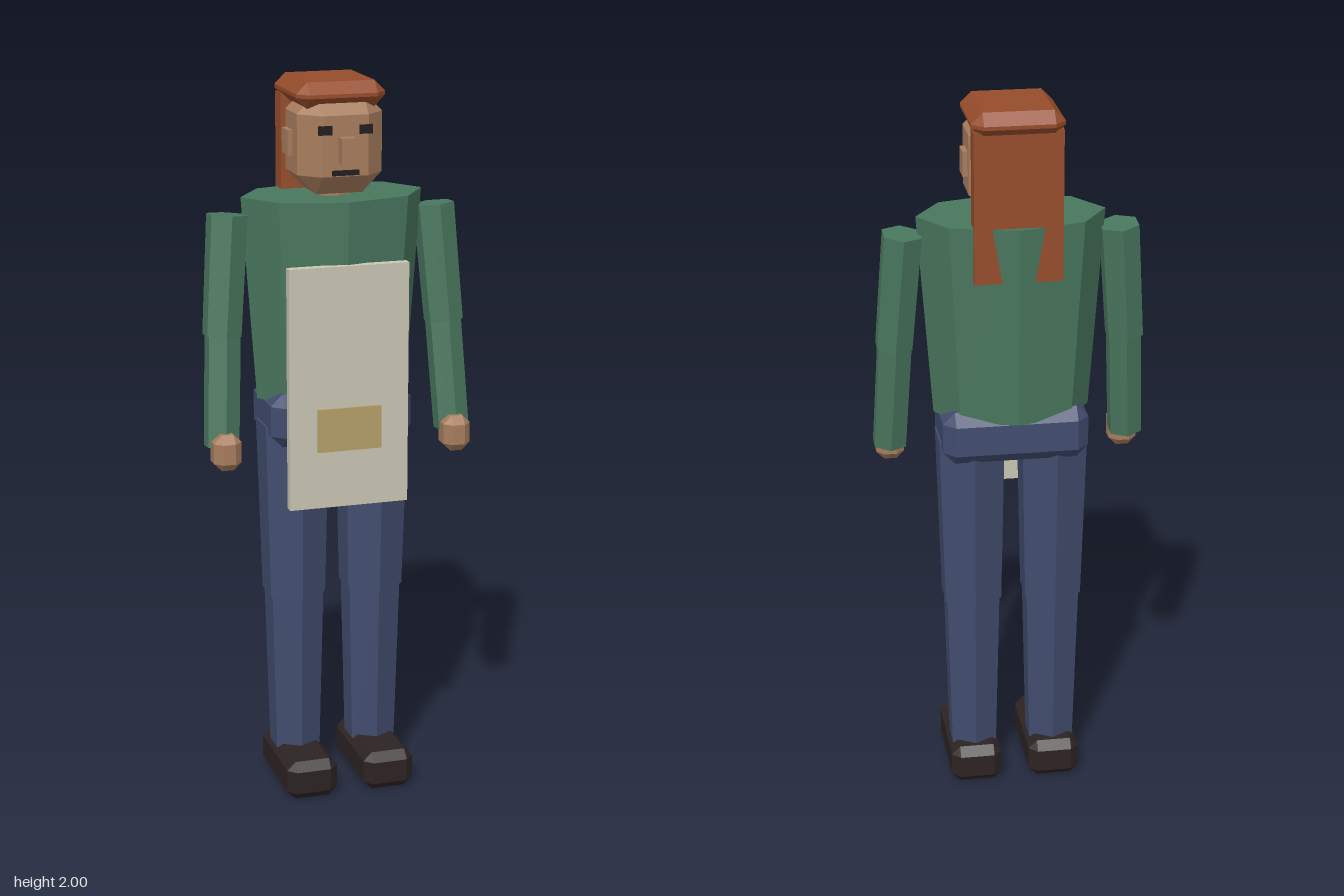
import * as THREE from 'three';
import { ConvexGeometry } from 'three/addons/geometries/ConvexGeometry.js';

const material = (name, color) => {
  const m = new THREE.MeshStandardMaterial({ color, flatShading: true });
  m.name = name;
  return m;
};

// Box with chamfered edges and corners
function chamferBox(w, h, d, c) {
  const points = [];
  for (const x of [-1, 1]) for (const y of [-1, 1]) for (const z of [-1, 1]) {
    for (let face = 0; face < 3; face++) {
      points.push(new THREE.Vector3(
        x * (w / 2 - (face === 0 ? 0 : c)),
        y * (h / 2 - (face === 1 ? 0 : c)),
        z * (d / 2 - (face === 2 ? 0 : c))));
    }
  }
  return new ConvexGeometry(points);
}

export function createModel() {
  const model = new THREE.Group();
  model.name = 'workerFigure';
  const skin = material('skin', 0xa87d5d);
  const hair = material('hair', 0x964d2b);
  const shirt = material('shirt', 0x49775e);
  const trousers = material('trousers', 0x414c6e);
  const leather = material('shoeLeather', 0x2d2323);
  const cloth = material('apronCloth', 0xc9c6b3);
  const ochre = material('pocketOchre', 0xb5a067);
  const dark = material('faceDark', 0x1f1c1c);

  const add = (name, geometry, mat, x, y, z) => {
    const mesh = new THREE.Mesh(geometry, mat);
    mesh.name = name;
    mesh.position.set(x, y, z);
    model.add(mesh);
    return mesh;
  };
  // Box given by its lower and upper corners; chamfered when c > 0
  const block = (name, mat, [x0, y0, z0], [x1, y1, z1], c = 0) => {
    const size = [x1 - x0, y1 - y0, z1 - z0];
    const geo = c ? chamferBox(...size, c) : new THREE.BoxGeometry(...size);
    return add(name, geo, mat, (x0 + x1) / 2, (y0 + y1) / 2, (z0 + z1) / 2);
  };
  // Six-sided tapered limb from a top point to a bottom point
  const limb = (name, mat, top, bottom, rTop, rBottom) => {
    const a = new THREE.Vector3(...top), b = new THREE.Vector3(...bottom);
    const geo = new THREE.CylinderGeometry(rTop, rBottom, a.distanceTo(b), 6);
    const mid = a.clone().add(b).multiplyScalar(0.5);
    const mesh = add(name, geo, mat, mid.x, mid.y, mid.z);
    mesh.quaternion.setFromUnitVectors(new THREE.Vector3(0, 1, 0), a.sub(b).normalize());
  };

  // Torso: eight-sided taper, flattened front to back
  const torso = add('torso', new THREE.CylinderGeometry(1, 0.84, 0.56, 8), shirt, 0, 1.41, -0.022);
  torso.scale.set(0.255, 1, 0.158);
  block('pelvis', trousers, [-0.2, 1.01, -0.145], [0.2, 1.16, 0.1], 0.033);
  add('neck', new THREE.CylinderGeometry(0.05, 0.055, 0.12, 8), skin, 0, 1.7, -0.02);

  // Head and hair
  block('head', skin, [-0.118, 1.7, -0.115], [0.118, 1.97, 0.103], 0.054);
  block('hairCap', hair, [-0.123, 1.93, -0.18], [0.123, 2, 0.09], 0.03);
  block('backHair', hair, [-0.118, 1.54, -0.162], [0.118, 1.95, -0.107]);
  block('nose', skin, [-0.02, 1.79, 0.09], [0.02, 1.86, 0.136]);
  block('mouth', dark, [-0.037, 1.757, 0.1], [0.037, 1.771, 0.108]);

  // Apron with pocket
  block('apron', cloth, [-0.168, 0.85, 0.114], [0.168, 1.52, 0.14]);
  block('apronPocket', ochre, [-0.09, 1.01, 0.138], [0.09, 1.13, 0.147]);

  // Mirrored parts
  for (const s of [1, -1]) {
    const side = s > 0 ? 'left' : 'right';
    const pair = (name, mat, x, y, z, w, h, d, c) =>
      block(side + name, mat, [s * x - w / 2, y - h / 2, z - d / 2], [s * x + w / 2, y + h / 2, z + d / 2], c);

    pair('Eye', dark, 0.056, 1.878, 0.103, 0.036, 0.024, 0.009);
    pair('Ear', skin, 0.122, 1.835, -0.02, 0.02, 0.068, 0.056);

    limb(side + 'UpperArm', shirt, [s * 0.292, 1.645, -0.025], [s * 0.317, 1.32, 0], 0.058, 0.055);
    limb(side + 'Forearm', shirt, [s * 0.315, 1.33, 0], [s * 0.331, 1.02, 0.037], 0.051, 0.05);
    pair('Hand', skin, 0.328, 1.015, 0.071, 0.077, 0.1, 0.084, 0.022);

    limb(side + 'Thigh', trousers, [s * 0.115, 1.06, -0.02], [s * 0.113, 0.565, -0.02], 0.104, 0.091);
    limb(side + 'Shin', trousers, [s * 0.113, 0.58, -0.02], [s * 0.112, 0.1, -0.02], 0.086, 0.073);
    pair('Shoe', leather, 0.112, 0.056, 0.025, 0.145, 0.112, 0.308, 0.024);
  }
  return model;
}
